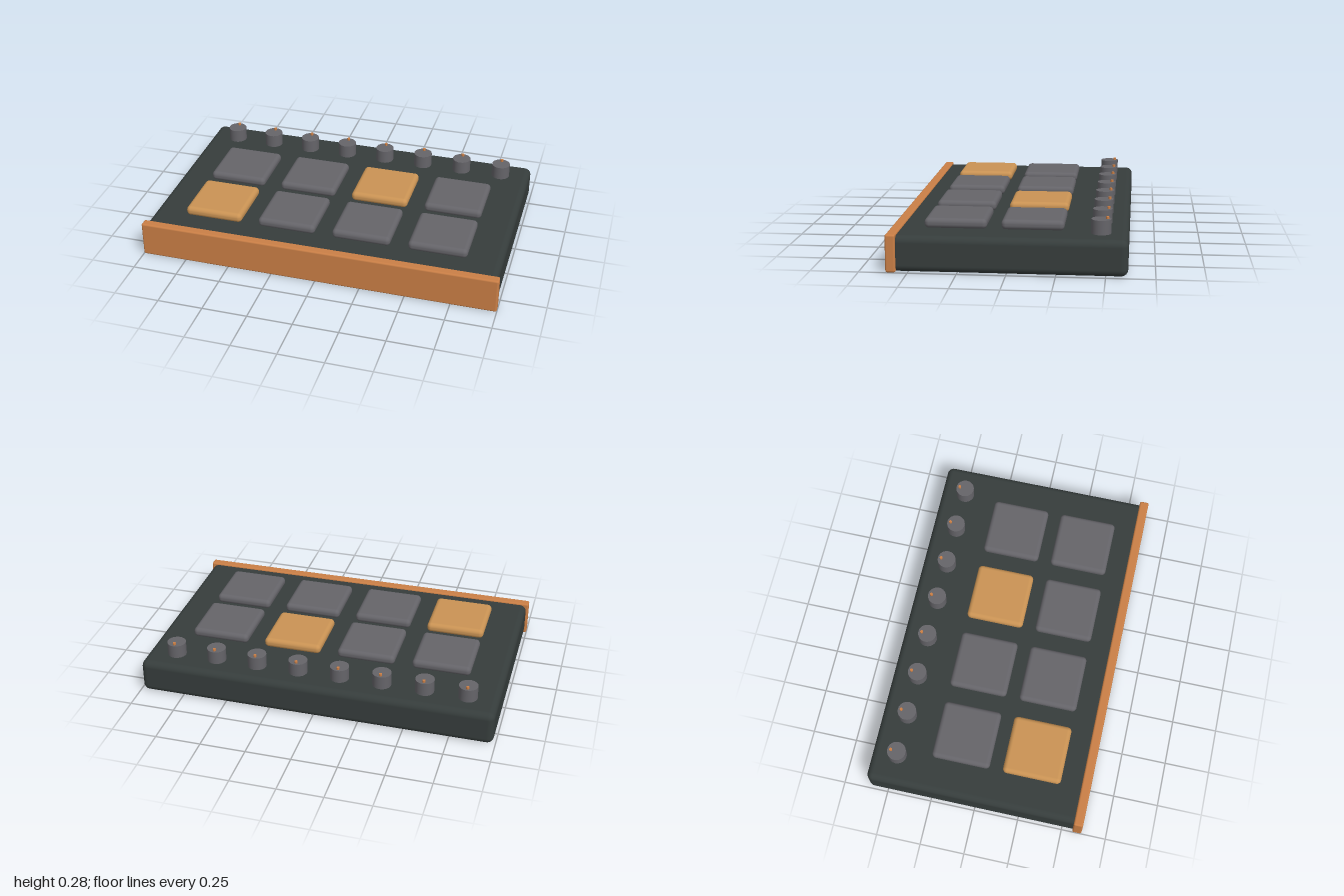
import * as THREE from 'three';
import { RoundedBoxGeometry } from 'three/addons/geometries/RoundedBoxGeometry.js';

const material = (name, color) => {
  const m = new THREE.MeshStandardMaterial({ color });
  m.name = name;
  return m;
};

export function createModel() {
  const model = new THREE.Group();
  model.name = 'padController';

  const charcoal = material('charcoal', 0x363d3c);
  const grey = material('grey', 0x656469);
  const copper = material('copper', 0xca7f46);
  const amber = material('amber', 0xca9354);

  const add = (name, geometry, mat, x, y, z) => {
    const mesh = new THREE.Mesh(geometry, mat);
    mesh.name = name;
    mesh.position.set(x, y, z);
    model.add(mesh);
    return mesh;
  };

  // Case and front rail
  add('case', new RoundedBoxGeometry(1.976, 0.188, 1.2, 4, 0.036), charcoal, 0, 0.094, -0.012);
  add('frontRail', new RoundedBoxGeometry(2, 0.197, 0.052, 3, 0.01), copper, 0, 0.0985, 0.587);

  // Two rows of four pads, two of them lit amber
  const padGeometry = new RoundedBoxGeometry(0.326, 0.054, 0.326, 4, 0.024);
  [-0.118, 0.282].forEach((z, row) => {
    for (let col = 0; col < 4; col++) {
      const lit = (row === 0 && col === 2) || (row === 1 && col === 0);
      add(lit ? 'litPad' : 'pad', padGeometry, lit ? amber : grey, -0.637 + col * 0.4247, 0.212, z);
    }
  });

  // Row of knobs, each with a small pointer peg near its rear edge
  const knobGeometry = new THREE.CylinderGeometry(0.052, 0.052, 0.083, 24);
  const pegGeometry = new THREE.CylinderGeometry(0.0085, 0.0085, 0.022, 12);
  for (let i = 0; i < 8; i++) {
    const x = (i - 3.5) * 0.235;
    add('knob', knobGeometry, grey, x, 0.2215, -0.471);
    add('knobPointer', pegGeometry, copper, x, 0.264, -0.503);
  }

  return model;
}
